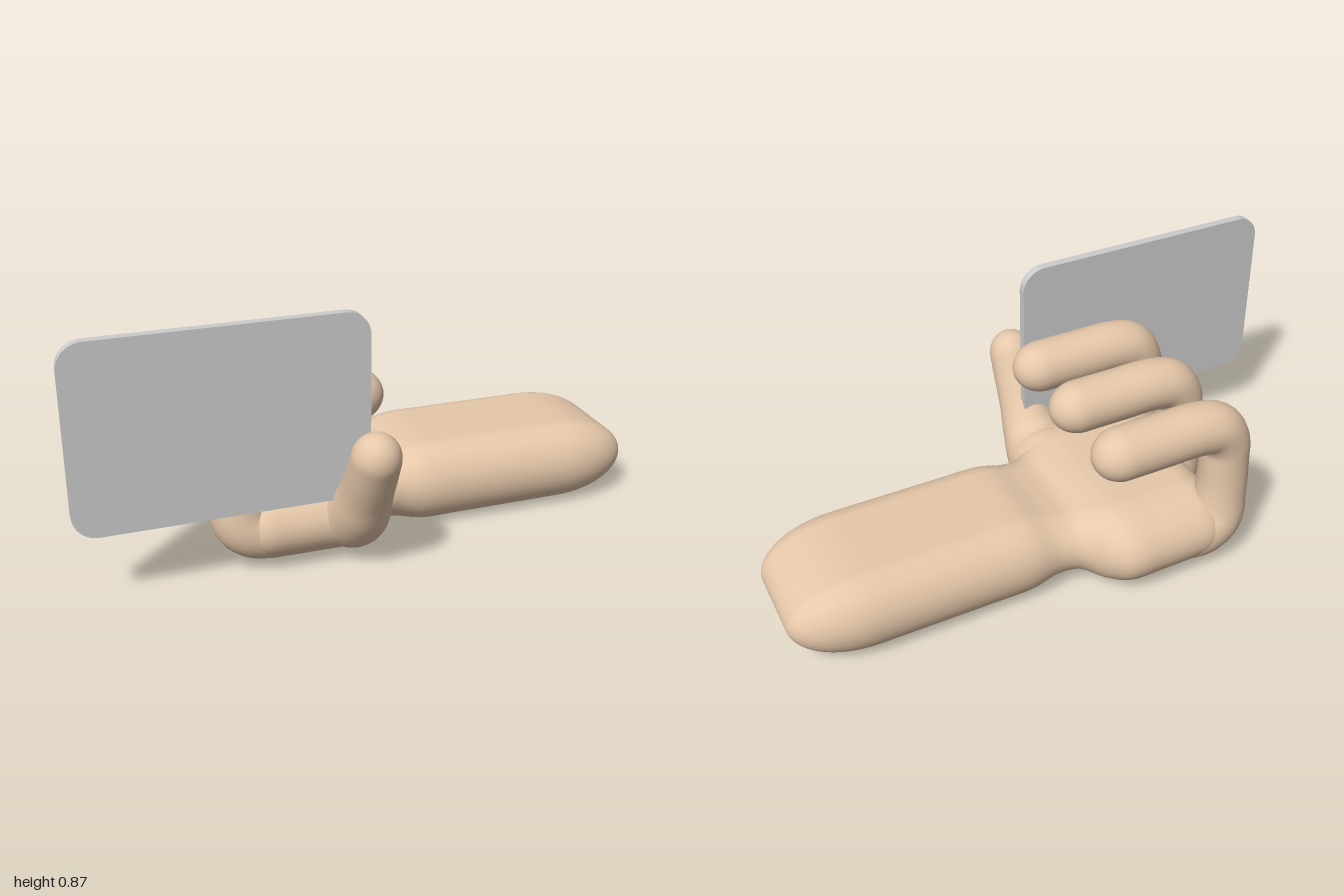
import * as THREE from 'three';

const skin = new THREE.MeshStandardMaterial({ color: 0xe6c8aa, roughness: 0.9 });
const grey = new THREE.MeshStandardMaterial({ color: 0xcccccc });
const MID_Z = -0.112;
const V = (x, y, z) => new THREE.Vector3(x, y, z);

// Skin a list of equal-length rings, closing both ends at the ring centres.
function loft(rings, name) {
  const n = rings[0].length, pos = [], idx = [];
  const centre = r => r.reduce((s, p) => s.add(p), V(0, 0, 0)).divideScalar(n);
  rings.forEach(r => r.forEach(p => pos.push(p.x, p.y, p.z)));
  for (let i = 0; i < rings.length - 1; i++) {
    for (let j = 0; j < n; j++) {
      const a = i * n + j, b = i * n + (j + 1) % n;
      idx.push(a, b, a + n, b, b + n, a + n);
    }
  }
  const start = rings.length * n, last = start - n;
  [centre(rings[0]), centre(rings[rings.length - 1])].forEach(p => pos.push(p.x, p.y, p.z));
  for (let j = 0; j < n; j++) {
    const k = (j + 1) % n;
    idx.push(start, k, j, start + 1, last + j, last + k);
  }
  const g = new THREE.BufferGeometry();
  g.setAttribute('position', new THREE.Float32BufferAttribute(pos, 3));
  g.setIndex(idx);
  g.computeVertexNormals();
  const mesh = new THREE.Mesh(g, skin);
  mesh.name = name;
  return mesh;
}

// Stadium-shaped section across x: straight half-length c, rounded ends rz by ry.
function section(x, ry, c, rz) {
  const ring = [];
  for (let j = 0; j < 48; j++) {
    const a = ((j + 0.5) / 48) * Math.PI * 2, s = Math.cos(a);
    ring.push(V(x, 0.143 + ry * Math.sin(a), MID_Z - Math.sign(s) * c - rz * s));
  }
  return ring;
}

// Palm, wrist and forearm as one smooth body.
function palmAndArm() {
  // x, half height, half width
  const keys = [
    [-0.36, 0.143, 0.385], [-0.22, 0.143, 0.387], [-0.1, 0.142, 0.383], [-0.04, 0.13, 0.345],
    [0.03, 0.111, 0.265], [0.1, 0.118, 0.247], [0.2, 0.141, 0.259], [0.35, 0.143, 0.26],
    [0.55, 0.143, 0.26], [0.73, 0.143, 0.26],
  ];
  const curve = new THREE.CatmullRomCurve3(keys.map(k => V(...k)));
  const rings = [];
  // Blunt knuckle end of the palm
  for (let i = 0; i < 14; i++) {
    const a = (1 - i / 14) * Math.PI / 2, k = Math.cos(a);
    rings.push(section(-0.36 - 0.12 * Math.sin(a), 0.04 + 0.103 * k, 0.185 + 0.06 * (1 - k), 0.06 + 0.14 * k));
  }
  for (let i = 0; i <= 70; i++) {
    const p = curve.getPoint(i / 70), c = p.z * 0.48;
    rings.push(section(p.x, p.y, c, p.z - c));
  }
  // Wedge-shaped far end of the forearm
  for (let i = 1; i <= 16; i++) {
    const a = (i / 16) * Math.PI / 2, k = Math.cos(a);
    rings.push(section(0.73 + 0.27 * Math.sin(a), 0.143 * k, 0.125, 0.135 * k));
  }
  return loft(rings, 'palmAndForearm');
}

// Planar limb with varying radius and a rounded tip; keys are [point, radius].
function limb(keys, side, tip, name) {
  const path = new THREE.CatmullRomCurve3(keys.map(k => k[0]));
  const radii = new THREE.CatmullRomCurve3(keys.map((k, i) => V(i, k[1], 0)));
  const rings = [];
  const ring = (c, t, r) => {
    const n = side.clone().cross(t).normalize(), out = [];
    for (let j = 0; j < 28; j++) {
      const a = (j / 28) * Math.PI * 2;
      out.push(c.clone().addScaledVector(n, r * Math.sin(a)).addScaledVector(side, -r * Math.cos(a)));
    }
    rings.push(out);
  };
  for (let i = 0; i <= 48; i++) {
    const u = i / 48;
    ring(path.getPoint(u), path.getTangent(u), radii.getPoint(u).y);
  }
  const end = path.getPoint(1), dir = path.getTangent(1), r = keys[keys.length - 1][1];
  for (let i = 1; i <= 12; i++) {
    const a = (i / 12) * Math.PI / 2;
    ring(end.clone().addScaledVector(dir, tip * Math.sin(a)), dir, r * Math.cos(a));
  }
  return loft(rings, name);
}

export function createModel() {
  const model = new THREE.Group();
  model.name = 'handHoldingCard';
  model.add(palmAndArm());

  // Three curled fingers
  [0.157, -0.11, -0.392].forEach((z, i) => {
    const keys = [
      [-0.28, 0.14, 0.09], [-0.39, 0.128, 0.102], [-0.455, 0.165, 0.1], [-0.475, 0.27, 0.087],
      [-0.475, 0.4, 0.083], [-0.468, 0.475, 0.084], [-0.43, 0.532, 0.087], [-0.36, 0.551, 0.088],
      [-0.22, 0.552, 0.088], [-0.08, 0.552, 0.088],
    ].map(([x, y, r]) => [V(x, y, z), r]);
    model.add(limb(keys, V(0, 0, 1), 0.1, 'finger' + (i + 1)));
  });

  // Thumb rising outward from the palm
  const thumb = [
    [0.03, 0.146, 0.135], [0.12, 0.147, 0.135], [0.2, 0.16, 0.124], [0.27, 0.206, 0.104],
    [0.33, 0.288, 0.088], [0.382, 0.375, 0.083], [0.42, 0.445, 0.08],
  ].map(([z, y, r]) => [V(-0.095, y, z), r]);
  model.add(limb(thumb, V(1, 0, 0), 0.09, 'thumb'));

  // Rounded card
  const [x0, x1, y0, y1, r] = [-1, -0.06, 0.25, 0.872, 0.08];
  const shape = new THREE.Shape();
  shape.absarc(x1 - r, y0 + r, r, -Math.PI / 2, 0);
  shape.absarc(x1 - r, y1 - r, r, 0, Math.PI / 2);
  shape.absarc(x0 + r, y1 - r, r, Math.PI / 2, Math.PI);
  shape.absarc(x0 + r, y0 + r, r, Math.PI, Math.PI * 1.5);
  const card = new THREE.Mesh(
    new THREE.ExtrudeGeometry(shape, { depth: 0.03, bevelEnabled: false, curveSegments: 8 }), grey);
  card.position.z = 0.247;
  card.name = 'card';
  model.add(card);
  return model;
}
